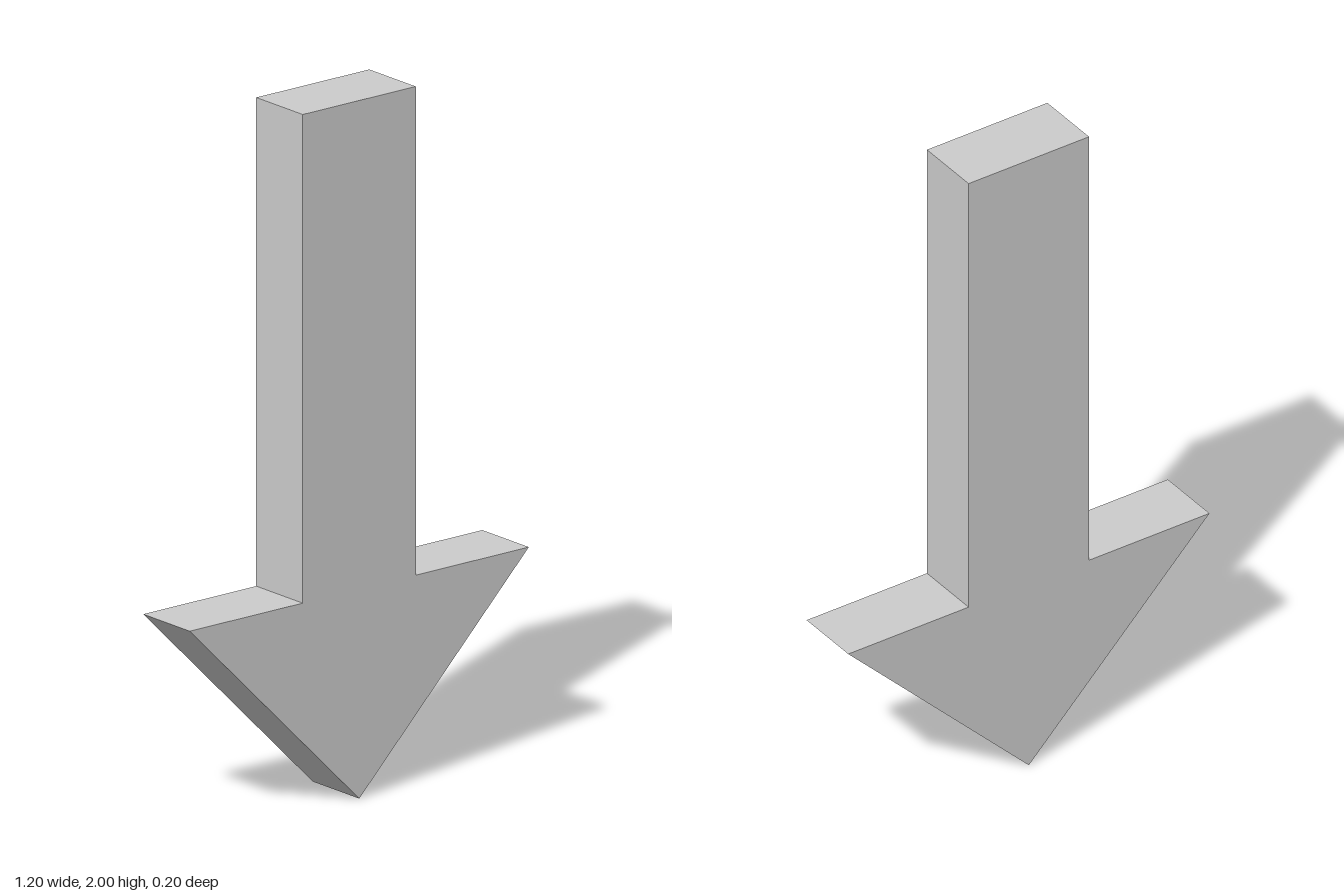
import * as THREE from 'three';

export function createModel() {
  const group = new THREE.Group();
  group.name = 'downArrow';

  const depth = 0.2;
  // Right half of the outline, from the tip up to the top of the shaft
  const half = [[0.6, 0.6], [0.2, 0.6], [0.2, 2]];
  const mirrored = half.map(([x, y]) => [-x, y]).reverse();
  const outline = [[0, 0], ...half, ...mirrored].map(([x, y]) => new THREE.Vector2(x, y));

  // Shaft and head are one flat slab
  const geometry = new THREE.ExtrudeGeometry(new THREE.Shape(outline), { depth, bevelEnabled: false });
  geometry.translate(0, 0, -depth / 2);

  const material = new THREE.MeshStandardMaterial({ color: 0xcccccc, flatShading: true });
  const arrow = new THREE.Mesh(geometry, material);
  arrow.name = 'arrowBody';
  group.add(arrow);
  return group;
}
